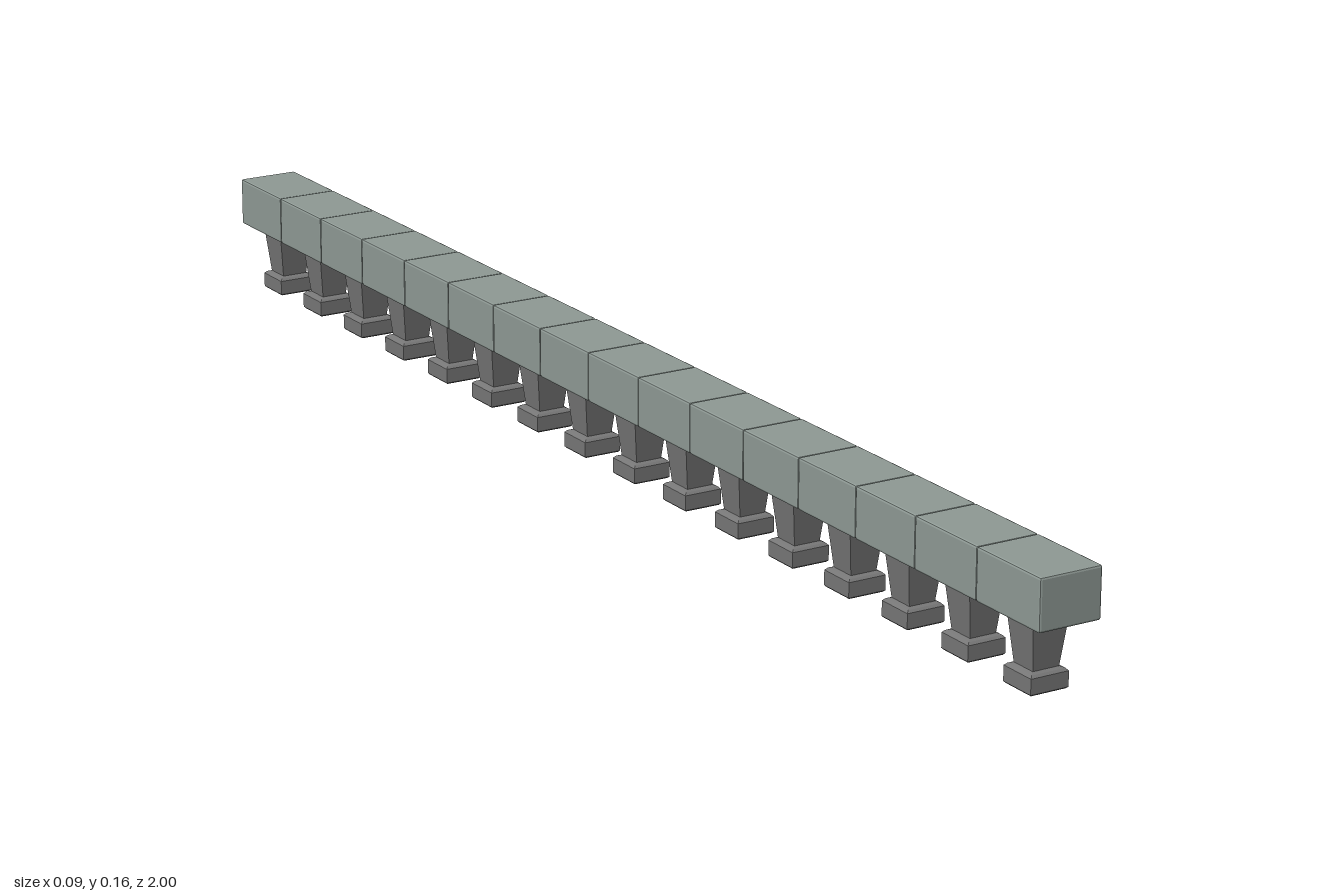
import * as THREE from 'three';
import { RoundedBoxGeometry } from 'three/addons/geometries/RoundedBoxGeometry.js';

const COUNT = 16;
const PITCH = 2 / COUNT;

// Square solid turned from a profile of [half width, height] pairs
function squareTurned(profile) {
  const points = profile.map(([half, y]) => new THREE.Vector2(half * Math.SQRT2, y));
  return new THREE.LatheGeometry(points, 4, Math.PI / 4);
}

export function createModel() {
  const railing = new THREE.Group();
  railing.name = 'balustrade';

  const copingStone = new THREE.MeshStandardMaterial({ color: 0x8f9a95, flatShading: true });
  const pillarStone = new THREE.MeshStandardMaterial({ color: 0x777777, flatShading: true });

  // Coping block with slightly bevelled edges
  const blockGeometry = new RoundedBoxGeometry(0.088, 0.068, PITCH, 1, 0.003);

  // Square foot with bevelled rims
  const footGeometry = squareTurned([
    [0, 0], [0.025, 0], [0.027, 0.002], [0.027, 0.022], [0.024, 0.025], [0.0185, 0.027], [0, 0.027],
  ]);

  // Shaft widening towards the coping
  const shaftGeometry = squareTurned([[0, 0.025], [0.0185, 0.025], [0.026, 0.093], [0, 0.093]]);

  for (let i = 0; i < COUNT; i++) {
    const bay = new THREE.Group();
    bay.name = `bay${i + 1}`;
    bay.position.z = -1 + PITCH * (i + 0.5);

    const block = new THREE.Mesh(blockGeometry, copingStone);
    block.name = 'copingBlock';
    block.position.y = 0.126;

    const foot = new THREE.Mesh(footGeometry, pillarStone);
    foot.name = 'pillarFoot';

    const shaft = new THREE.Mesh(shaftGeometry, pillarStone);
    shaft.name = 'pillarShaft';

    bay.add(block, foot, shaft);
    railing.add(bay);
  }
  return railing;
}
